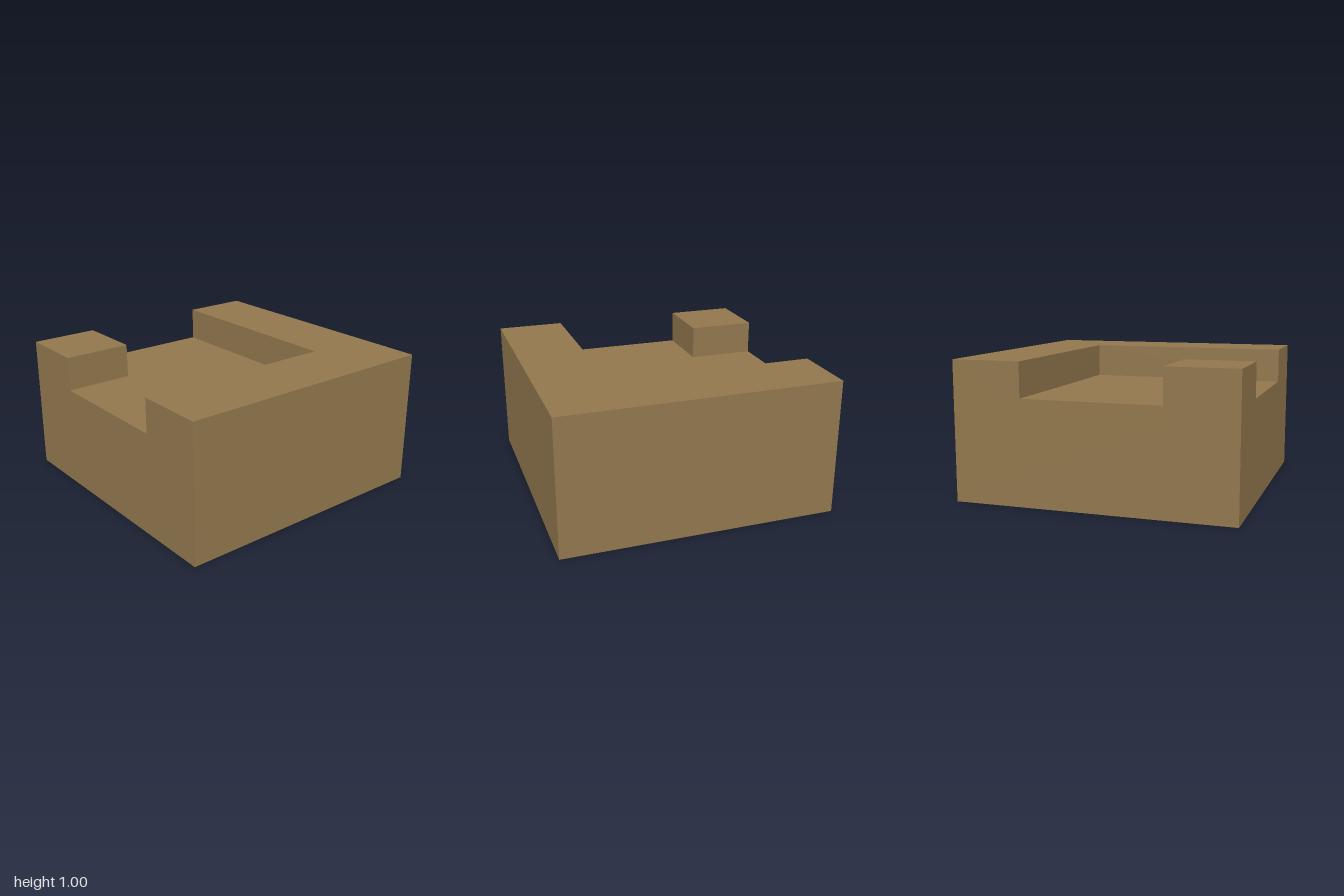
import * as THREE from 'three';

export function createModel() {
  const group = new THREE.Group();
  const earth = new THREE.MeshStandardMaterial({ color: 0x92774d });
  earth.name = 'earthBrown';

  const floorY = 0.75, topY = 1;

  const add = (name, geometry, x, y, z) => {
    const mesh = new THREE.Mesh(geometry, earth);
    mesh.name = name;
    mesh.position.set(x, y, z);
    group.add(mesh);
  };

  // Solid block up to the floor of the sunken path
  add('base', new THREE.BoxGeometry(2, floorY, 2), 0, floorY / 2, 0);

  // L-shaped raised border along the back and the left (+x) side; shape y is -z
  const outline = new THREE.Shape([
    [-1, 1], [-1, 0.5], [0.5, 0.5], [0.5, -1], [1, -1], [1, 1],
  ].map(([x, y]) => new THREE.Vector2(x, y)));
  const border = new THREE.ExtrudeGeometry(outline, { depth: topY - floorY, bevelEnabled: false });
  border.rotateX(-Math.PI / 2);
  add('raisedBorder', border, 0, floorY, 0);

  // Raised block in the front right (-x) corner
  add('cornerBlock', new THREE.BoxGeometry(0.5, topY - floorY, 0.5), -0.75, (floorY + topY) / 2, 0.75);

  return group;
}
